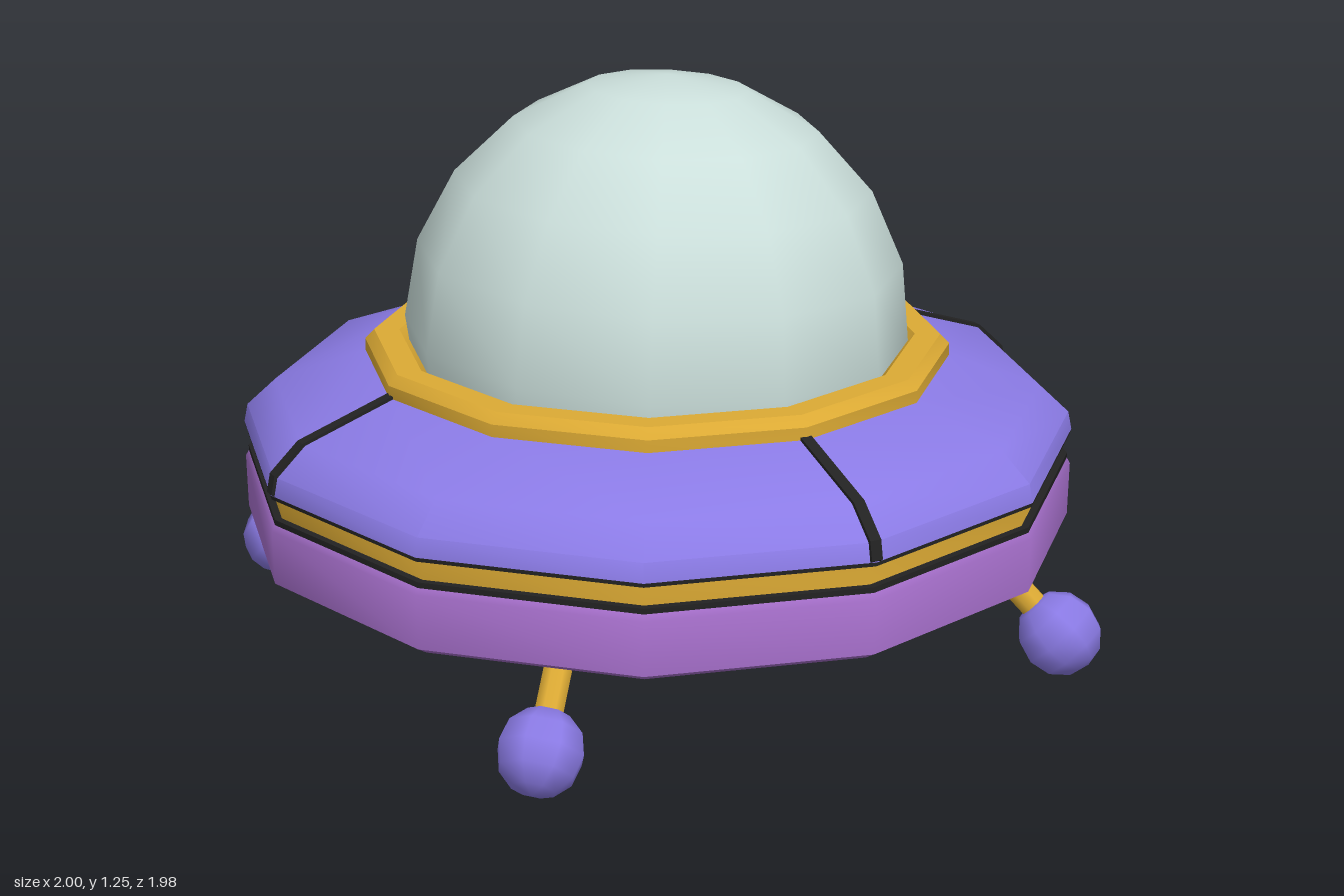
import * as THREE from 'three';
import { toCreasedNormals } from 'three/addons/utils/BufferGeometryUtils.js';

const SIDES = 12;
const TURN = THREE.MathUtils.degToRad(20); // puts hull corners at 10, 40, 70... degrees from +x

const paint = (color) => new THREE.MeshStandardMaterial({ color });
const violet = paint(0x8b7be6);
const purple = paint(0xa66fcb);
const gold = paint(0xdcaa34);
const black = paint(0x222222);
const glass = paint(0xcbdfdb);

export function createModel() {
  const model = new THREE.Group();

  const add = (name, geometry, material, parent = model) => {
    const mesh = new THREE.Mesh(geometry, material);
    mesh.name = name;
    parent.add(mesh);
    return mesh;
  };

  // Twelve-sided turned part from [radius, height] points, listed bottom to top
  const turned = (name, profile, material) => {
    const points = profile.map(([r, y]) => new THREE.Vector2(r, y));
    const lathe = new THREE.LatheGeometry(points, SIDES, TURN);
    return add(name, toCreasedNormals(lathe, 0.72), material);
  };

  // Hull layers
  const deck = [[0.907, 0.465], [0.899, 0.505], [0.835, 0.565], [0.63, 0.635]];
  turned('lowerHull', [[0, 0.25], [0.875, 0.25], [0.905, 0.268], [0.907, 0.385], [0.9, 0.398], [0, 0.398]], purple);
  turned('lowerTrim', [[0.8, 0.394], [0.9, 0.394], [0.9, 0.41], [0.8, 0.41]], black);
  turned('goldBand', [[0.8, 0.408], [0.884, 0.408], [0.884, 0.458], [0.8, 0.458]], gold);
  turned('upperTrim', [[0.8, 0.456], [0.905, 0.456], [0.905, 0.468], [0.8, 0.468]], black);
  turned('upperHull', [[0.8, 0.465], ...deck, [0.5, 0.645]], violet);

  // Gold collar around the dome
  turned('domeCollar', [[0.635, 0.62], [0.635, 0.66], [0.615, 0.681], [0.56, 0.681], [0.54, 0.66], [0.54, 0.62]], gold);

  // Dome, leaning very slightly
  const dome = add('dome',
    new THREE.SphereGeometry(0.547, SIDES, 6, TURN, Math.PI * 2, 0, THREE.MathUtils.degToRad(110)), glass);
  dome.material.side = THREE.DoubleSide;
  dome.position.y = 0.705;
  dome.rotation.set(-0.035, 0, -0.035);

  // Panel seams running down four corners of the upper hull
  const outer = deck.map(([r, y]) => new THREE.Vector2(r + 0.003, y + 0.005));
  const inner = deck.map(([r, y]) => new THREE.Vector2(r - 0.03, y - 0.02)).reverse();
  const seamGeometry = new THREE.ExtrudeGeometry(new THREE.Shape([...outer, ...inner]),
    { depth: 0.025, bevelEnabled: false });
  seamGeometry.translate(0, 0, -0.0125);
  for (let i = 0; i < 4; i++) {
    const seam = add('panelSeam', seamGeometry, black);
    seam.rotation.y = -THREE.MathUtils.degToRad(40 + 90 * i);
  }

  // Splayed legs ending in ball feet
  const up = new THREE.Vector3(0, 1, 0);
  const feet = [[0.11, 0.9], [0.91, -0.05], [-0.11, -0.9], [-0.91, 0.05]];
  for (const [x, z] of feet) {
    const leg = new THREE.Group();
    leg.name = 'leg';
    model.add(leg);
    const foot = new THREE.Vector3(x, 0.094, z);
    const hip = new THREE.Vector3(x * 0.77, 0.3, z * 0.77);
    const along = hip.clone().sub(foot);
    const strut = add('strut', new THREE.CylinderGeometry(0.031, 0.031, along.length(), 8), gold, leg);
    strut.position.copy(foot).add(hip).multiplyScalar(0.5);
    const ball = add('ballFoot', new THREE.SphereGeometry(0.092, 8, 6), violet, leg);
    ball.position.copy(foot);
    strut.quaternion.setFromUnitVectors(up, along.normalize());
    ball.quaternion.copy(strut.quaternion);
  }

  return model;
}
